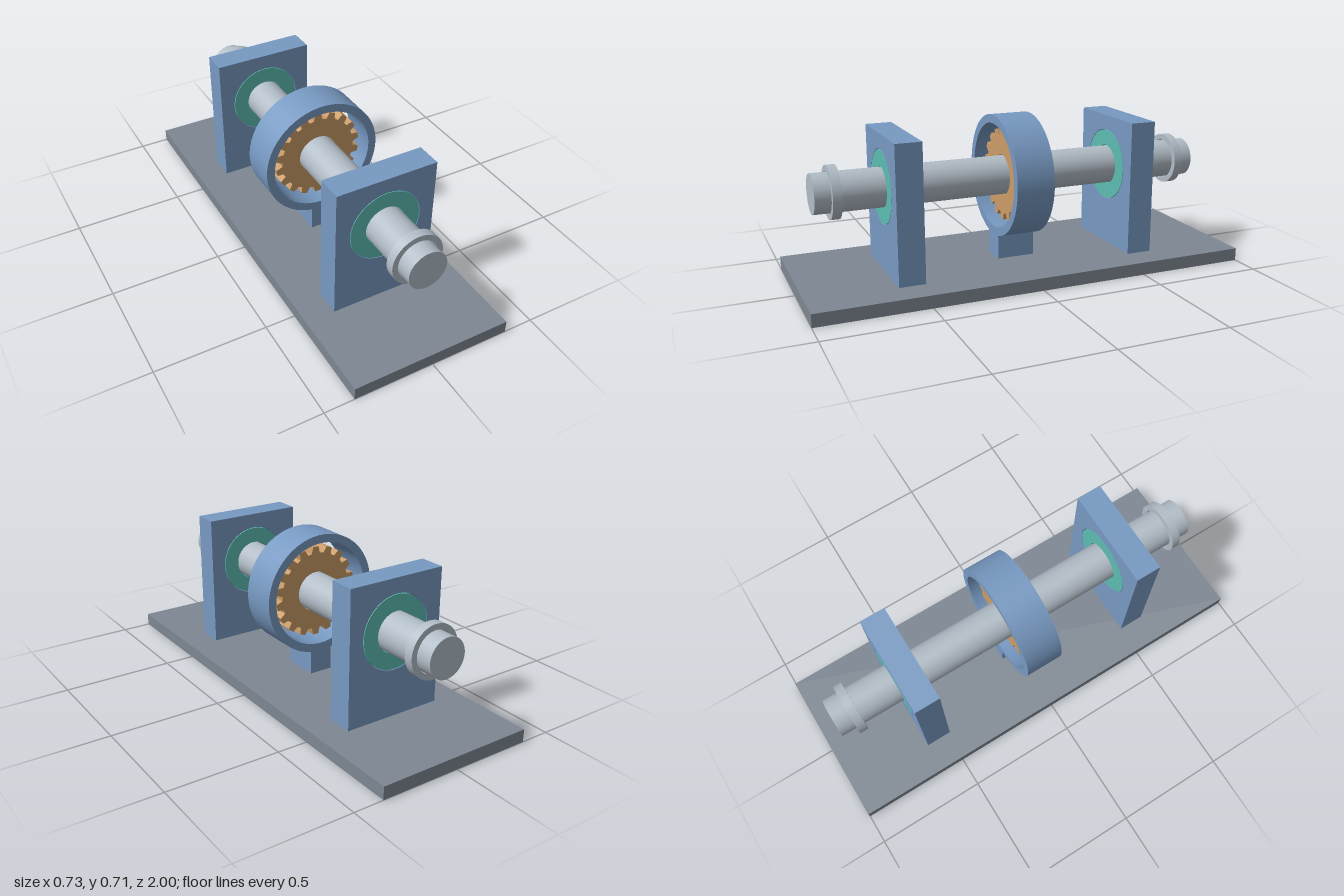
import * as THREE from 'three';
import { toCreasedNormals } from 'three/addons/utils/BufferGeometryUtils.js';

const AXIS_Y = 0.438;
const BASE_TOP = 0.058;

function material(name, color) {
  const m = new THREE.MeshStandardMaterial({ color });
  m.name = name;
  return m;
}

// Extrudes a shape along z, centred on z = 0, with an optional round bore
function extrude(shape, depth, bore) {
  if (bore) {
    const hole = new THREE.Path();
    hole.absarc(0, 0, bore, 0, Math.PI * 2, true);
    shape.holes.push(hole);
  }
  const geo = new THREE.ExtrudeGeometry(shape, { depth, bevelEnabled: false, curveSegments: 72 });
  geo.translate(0, 0, -depth / 2);
  return toCreasedNormals(geo, 0.5);
}

function ring(outer, inner, depth) {
  const shape = new THREE.Shape();
  shape.absarc(0, 0, outer, 0, Math.PI * 2, false);
  return extrude(shape, depth, inner);
}

// Toothed wheel outline: each tooth is narrower at its tip
function gearShape(teeth, root, tip) {
  const shape = new THREE.Shape();
  const pitch = (Math.PI * 2) / teeth;
  const profile = [[-0.34, root], [-0.2, tip], [0.2, tip], [0.34, root]];
  for (let i = 0; i < teeth; i++) {
    profile.forEach(([t, r], k) => {
      const a = Math.PI / 2 + (i + t) * pitch;
      const x = Math.cos(a) * r, y = Math.sin(a) * r;
      if (i === 0 && k === 0) shape.moveTo(x, y);
      else shape.lineTo(x, y);
    });
  }
  shape.closePath();
  return shape;
}

export function createModel() {
  const model = new THREE.Group();
  const grey = material('base grey', 0x7d8792);
  const blue = material('housing blue', 0x7799c2);
  const steel = material('shaft steel', 0xb2bdc7);
  const teal = material('bearing teal', 0x5cbdb2);
  const bronze = material('gear bronze', 0xcb9c68);

  function add(name, geometry, mat, y, z = 0) {
    const mesh = new THREE.Mesh(geometry, mat);
    mesh.name = name;
    mesh.position.set(0, y, z);
    model.add(mesh);
    return mesh;
  }

  // Base plate
  add('basePlate', new THREE.BoxGeometry(0.73, BASE_TOP, 2), grey, BASE_TOP / 2);

  // Shaft, with a small clearance to everything mounted around it
  const shaftGeo = new THREE.CylinderGeometry(0.088, 0.088, 1.82, 72);
  shaftGeo.rotateX(Math.PI / 2);
  add('shaft', shaftGeo, steel, AXIS_Y);

  // Bearing supports, bearings and retaining collars at both ends
  const low = BASE_TOP - AXIS_Y, high = 0.672 - AXIS_Y, half = 0.232;
  for (const [end, s] of [['front', 1], ['back', -1]]) {
    const plate = new THREE.Shape();
    plate.moveTo(-half, low);
    plate.lineTo(half, low);
    plate.lineTo(half, high);
    plate.lineTo(-half, high);
    plate.closePath();
    add(end + 'Support', extrude(plate, 0.118, 0.166), blue, AXIS_Y, s * 0.548);
    add(end + 'Bearing', ring(0.163, 0.0915, 0.118), teal, AXIS_Y, s * 0.548);
    add(end + 'Collar', ring(0.117, 0.0915, 0.04), steel, AXIS_Y, s * 0.82);
  }

  // Central ring housing on a short pedestal
  add('ringHousing', ring(0.276, 0.238, 0.175), blue, AXIS_Y);
  add('ringPedestal', new THREE.BoxGeometry(0.11, 0.125, 0.174), blue, BASE_TOP + 0.0625);

  // Toothed wheel inside the ring
  add('gear', extrude(gearShape(18, 0.18, 0.21), 0.09, 0.0915), bronze, AXIS_Y);

  return model;
}
